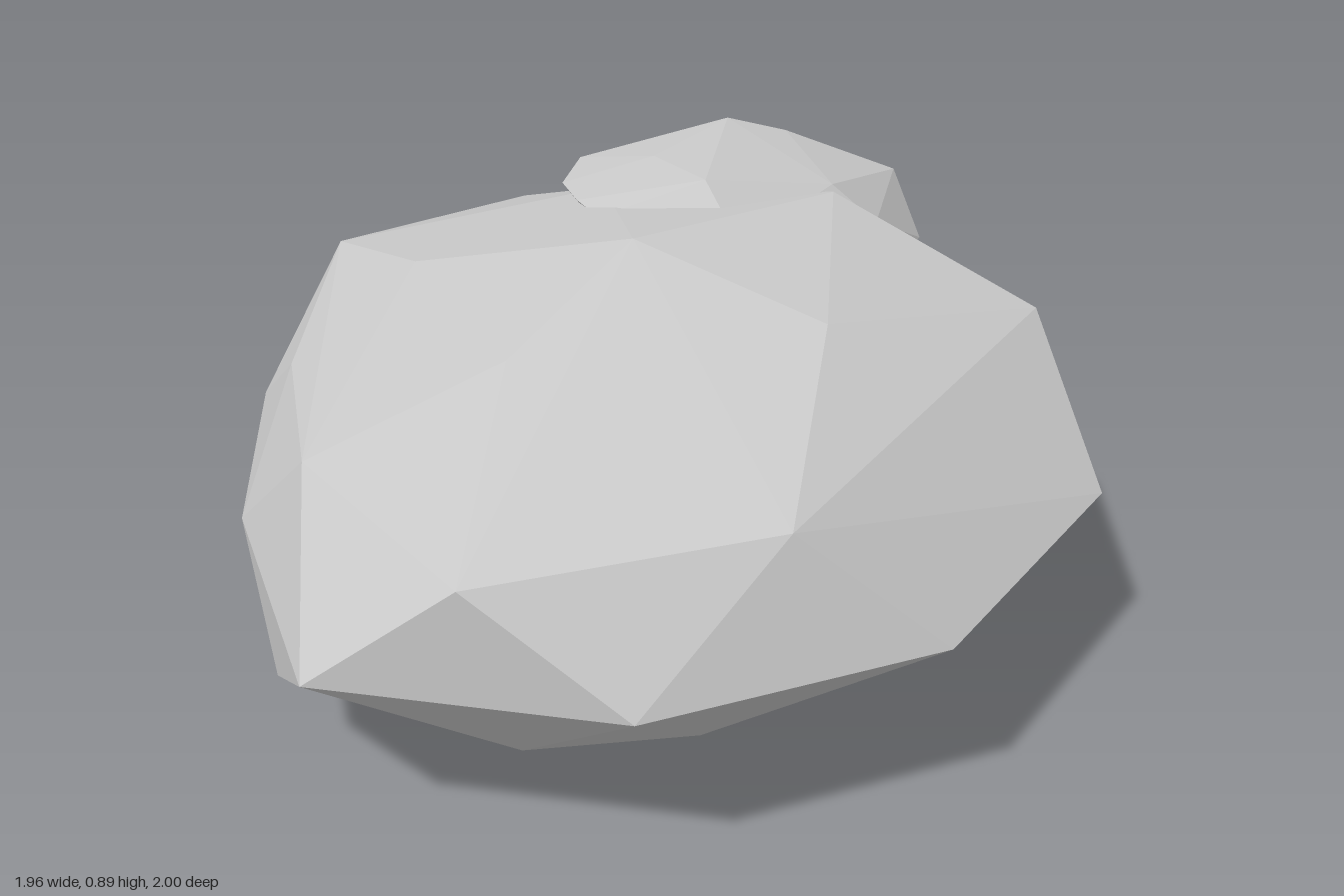
import * as THREE from 'three';
import { ConvexGeometry } from 'three/addons/geometries/ConvexGeometry.js';

const stone = new THREE.MeshStandardMaterial({ color: 0xcacaca, flatShading: true });
stone.name = 'light grey stone';

// Faceted boulder wrapped around a few rings of corner points
function boulder(name, rings) {
  const points = rings.flat().map((p) => new THREE.Vector3(...p));
  const mesh = new THREE.Mesh(new ConvexGeometry(points), stone);
  mesh.name = name;
  return mesh;
}

export function createModel() {
  const group = new THREE.Group();
  group.name = 'rocks';

  // Large flat boulder: crown, shoulder, widest ring, underside, base
  group.add(boulder('largeRock', [
    [[-0.02, 0.87, -0.01], [0.17, 0.8, 0.42], [0.55, 0.84, -0.12],
      [0.2, 0.78, -0.55], [-0.36, 0.77, -0.35], [-0.42, 0.775, 0.22]],
    [[-0.77, 0.65, 0.75], [-0.22, 0.68, 0.9], [0.3, 0.61, 0.68], [0.77, 0.68, 0.33], [0.82, 0.62, -0.26],
      [0.72, 0.58, -0.74], [0.19, 0.64, -0.95], [-0.37, 0.68, -0.77], [-0.66, 0.61, -0.32], [-0.83, 0.66, 0.21]],
    [[-0.98, 0.42, 0.55], [-0.54, 0.42, 0.93], [0.06, 0.42, 1], [0.68, 0.42, 0.68], [0.98, 0.42, 0.06],
      [0.96, 0.42, -0.58], [0.53, 0.42, -1], [-0.11, 0.42, -0.95], [-0.63, 0.42, -0.61], [-0.87, 0.42, -0.07]],
    [[-0.6, 0.2, 0.62], [-0.2, 0.25, 0.78], [0.28, 0.25, 0.71], [0.75, 0.21, 0.33], [0.84, 0.18, -0.22],
      [0.69, 0.16, -0.67], [0.2, 0.18, -0.84], [-0.39, 0.15, -0.71], [-0.74, 0.17, -0.27], [-0.91, 0.22, 0.2]],
    [[-0.54, 0.045, 0.25], [-0.17, 0.03, 0.53], [0.43, 0.015, 0.2],
      [0.25, 0.01, -0.48], [-0.24, 0.01, -0.38], [0, 0, 0]],
  ]));

  // Small boulder resting on the back left shoulder
  group.add(boulder('smallRock', [
    [[0.26, 0.895, -0.19], [0.47, 0.87, -0.33], [0.29, 0.865, -0.47], [0.55, 0.89, -0.57], [0.67, 0.86, -0.5]],
    [[0.07, 0.8, -0.33], [0.08, 0.8, -0.45], [0.12, 0.79, -0.6], [0.23, 0.8, -0.72], [0.59, 0.8, -0.73],
      [0.72, 0.79, -0.67], [0.87, 0.78, -0.33], [0.68, 0.83, -0.33], [0.56, 0.85, -0.14], [0.29, 0.77, -0.09]],
    [[0.86, 0.65, -0.2], [0.76, 0.65, -0.13], [0.65, 0.76, -0.09], [0.78, 0.65, -0.55],
      [0.72, 0.71, -0.7], [0.6, 0.65, -0.77], [0.47, 0.65, -0.78], [0.2, 0.68, -0.6]],
    [[0.81, 0.59, -0.28], [0.74, 0.58, -0.66], [0.45, 0.58, -0.69], [0.4, 0.58, -0.3]],
  ]));
  return group;
}
